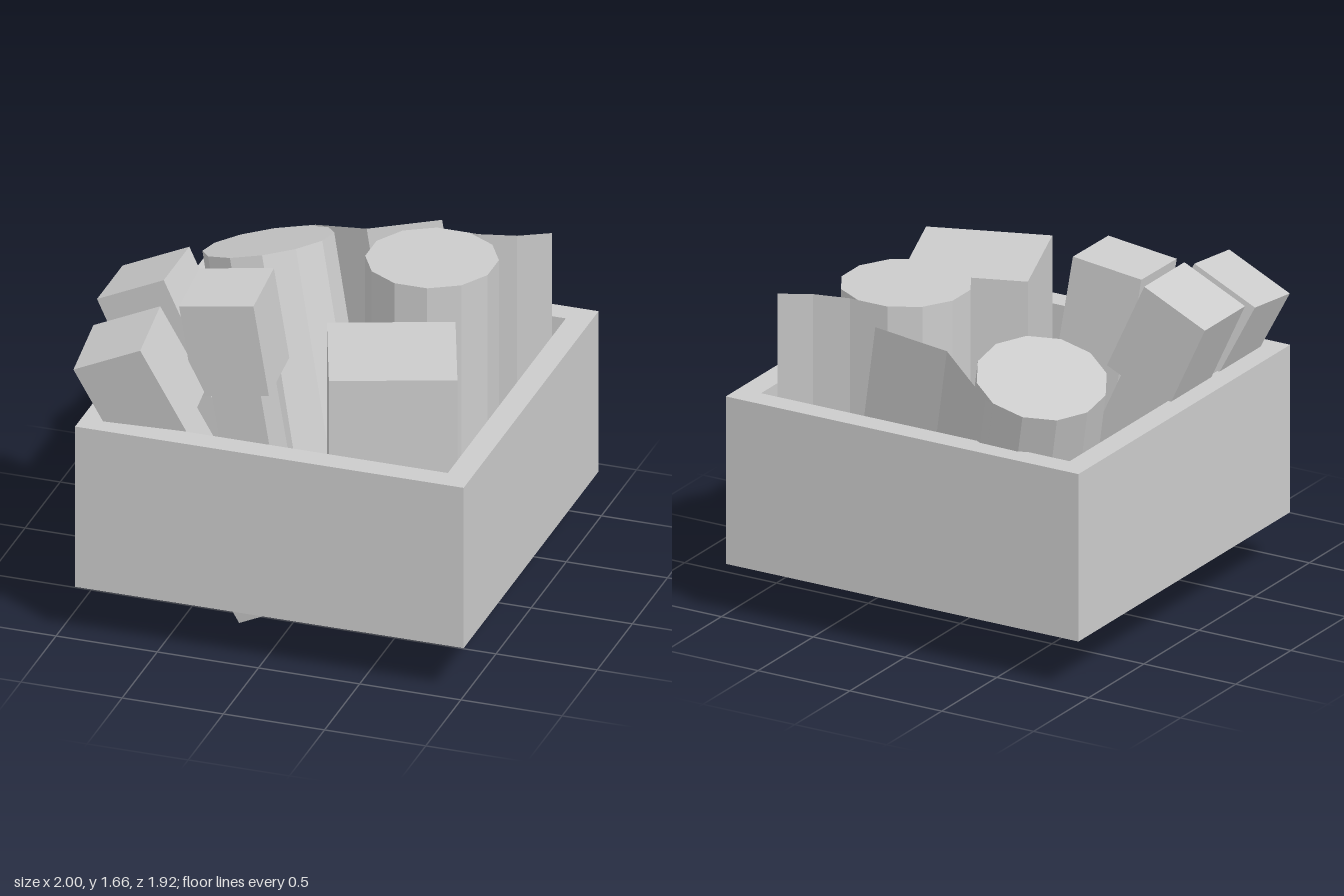
import * as THREE from 'three';

const material = new THREE.MeshStandardMaterial({ color: 0xcccccc, flatShading: true });
const sheetMaterial = new THREE.MeshStandardMaterial({
  color: 0xcccccc, flatShading: true, side: THREE.DoubleSide,
});
const deg = THREE.MathUtils.degToRad;

function add(parent, name, geometry, mat = material) {
  const mesh = new THREE.Mesh(geometry, mat);
  mesh.name = name;
  parent.add(mesh);
  return mesh;
}

function rectangle(target, half) {
  target.moveTo(-half, -half);
  target.lineTo(half, -half);
  target.lineTo(half, half);
  target.lineTo(-half, half);
  target.closePath();
  return target;
}

// Open crate: a square frame of walls with a thick floor set inside
function makeCrate() {
  const crate = new THREE.Group();
  crate.name = 'crate';
  const outline = rectangle(new THREE.Shape(), 0.96);
  outline.holes.push(rectangle(new THREE.Path(), 0.84));
  const walls = new THREE.ExtrudeGeometry(outline, { depth: 0.84, bevelEnabled: false });
  walls.rotateX(-Math.PI / 2);
  add(crate, 'crateWalls', walls);
  add(crate, 'crateFloor', new THREE.BoxGeometry(1.68, 0.12, 1.68)).position.y = 0.06;
  crate.position.set(0.04, 0.25, 0);
  return crate;
}

// Rolled sheet: a twelve-sided roll with a loose end; origin at the top centre
function makeRoll(name, length, looseEnd) {
  const roll = new THREE.Group();
  roll.name = name;
  const body = new THREE.CylinderGeometry(0.313, 0.313, length, 12);
  body.rotateY(deg(15));
  body.translate(0, -length / 2, 0);
  add(roll, 'rollBody', body);

  const path = [[0.08, -0.302], [0.125, -0.302], ...looseEnd];
  const positions = [];
  const index = [];
  path.forEach(([x, z], i) => {
    positions.push(x, 0, z, x, -length, z);
    if (i > 0) {
      const a = 2 * (i - 1);
      index.push(a, a + 2, a + 1, a + 1, a + 2, a + 3);
    }
  });
  const sheet = new THREE.BufferGeometry();
  sheet.setAttribute('position', new THREE.Float32BufferAttribute(positions, 3));
  sheet.setIndex(index);
  sheet.computeVertexNormals();
  add(roll, 'looseEnd', sheet, sheetMaterial);
  return roll;
}

// Square post: a wide head on a narrower shaft; origin at the top centre
function makePost(name, position, rx, ry, rz) {
  const post = new THREE.Group();
  post.name = name;
  add(post, 'head', new THREE.BoxGeometry(0.364, 0.48, 0.364)).position.y = -0.24;
  add(post, 'shaft', new THREE.BoxGeometry(0.24, 1.09, 0.24)).position.y = -1.025;
  post.position.set(...position);
  post.rotation.set(deg(rx), deg(ry), deg(rz), 'ZYX');
  return post;
}

export function createModel() {
  const model = new THREE.Group();
  model.name = 'crateOfGoods';
  model.add(makeCrate());

  // Upright block
  const block = add(model, 'block', new THREE.BoxGeometry(0.6, 1.08, 0.6));
  block.position.set(0.457, 0.91, 0.413);
  block.rotation.y = deg(20);

  // Upright roll
  const upright = makeRoll('uprightRoll', 1.2, [[0.3, -0.345], [0.445, -0.425]]);
  upright.position.set(0.395, 1.57, -0.333);
  model.add(upright);

  // Leaning roll
  const leaning = makeRoll('leaningRoll', 1.2, [[0.455, -0.11], [0.813, -0.17]]);
  leaning.position.set(-0.51, 1.37, -0.61);
  leaning.quaternion.setFromUnitVectors(
    new THREE.Vector3(0, 1, 0),
    new THREE.Vector3(-0.285, 1.14, -0.25).normalize(),
  );
  model.add(leaning);

  // Leaning posts
  model.add(
    makePost('backPost', [-0.835, 1.56, 0.235], 0, 0, 25),
    makePost('frontPost', [-0.79, 1.47, 0.74], 9.7, 0, 25),
    makePost('middlePost', [-0.38, 1.62, 0.36], 4, 3.4, 8),
  );
  return model;
}
